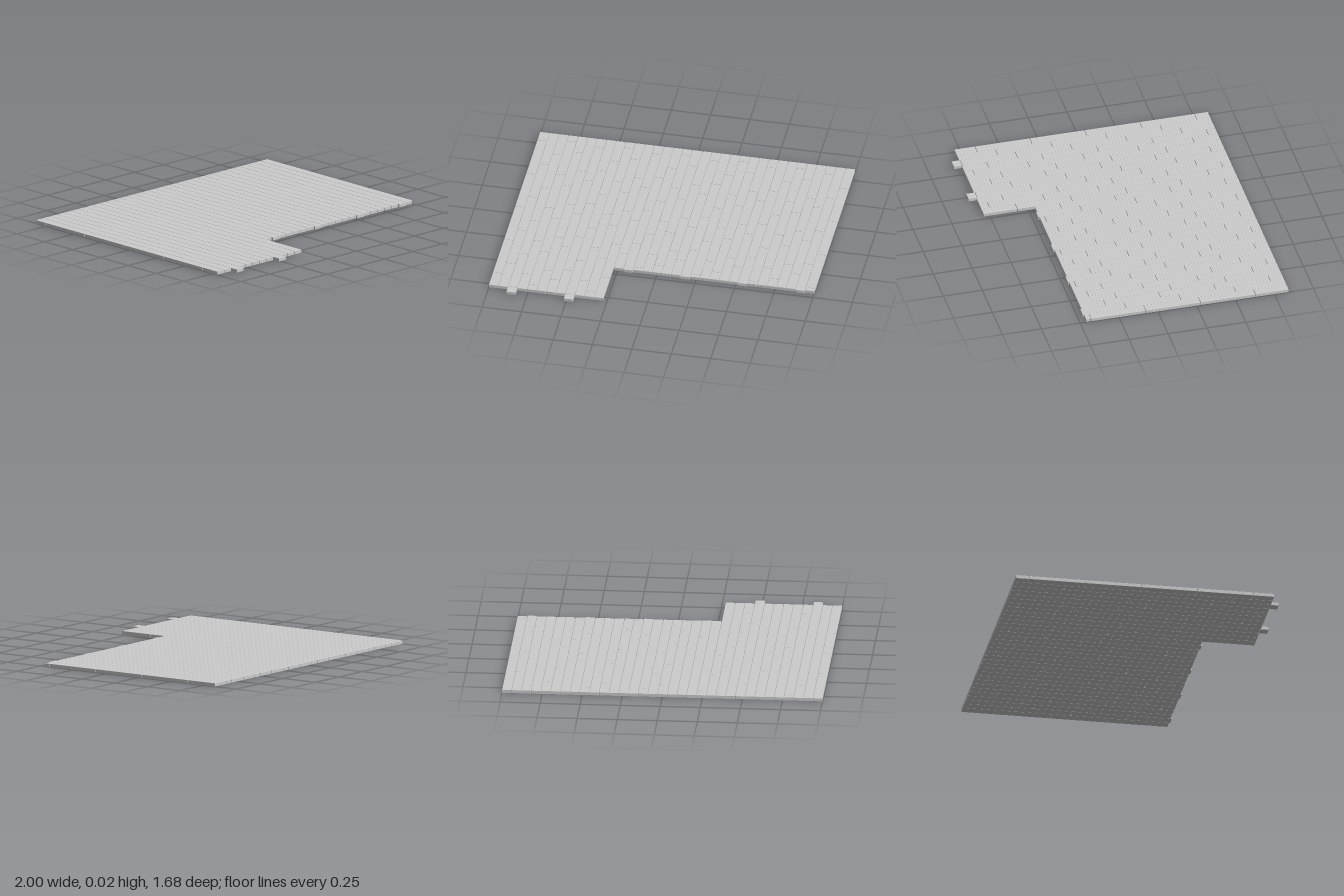
import * as THREE from 'three';
import { RoundedBoxGeometry } from 'three/addons/geometries/RoundedBoxGeometry.js';

const COLUMNS = 33;
const GAP = 0.002;
const PITCH = (2 + GAP) / COLUMNS;
const HEIGHT = 0.022;
const LENGTH = 0.353; // distance between joints in a row
const BACK = -0.84;
// z of the first joint in each row; the stagger repeats every six rows
const FIRST_JOINT = [-0.753, -0.515, -0.627, -0.78, -0.675, -0.485];

// Front end of a row: the left-out corner shortens rows 12 and up
function rowEnd(i) {
  if (i < 12) return i % 6 === 2 ? 0.84 : 0.79; // two rows overshoot
  return i % 6 === 1 ? 0.47 : 0.462;
}

export function createModel() {
  const floor = new THREE.Group();
  floor.name = 'plankFloor';
  const material = new THREE.MeshStandardMaterial({ color: 0xcccccc });

  for (let i = 0; i < COLUMNS; i++) {
    const row = new THREE.Group();
    row.name = `plankRow${i + 1}`;
    row.position.x = -1 + (PITCH - GAP) / 2 + i * PITCH;

    // Planks laid end to end, the first and last cut to fit
    const end = rowEnd(i);
    let start = BACK;
    let joint = FIRST_JOINT[i % 6];
    while (start < end - 0.01) {
      const stop = Math.min(joint, end);
      const length = stop - start - (stop < end ? GAP : 0);
      const plank = new THREE.Mesh(
        new RoundedBoxGeometry(PITCH - GAP, HEIGHT, length, 1, 0.002), material);
      plank.name = 'plank';
      plank.position.set(0, HEIGHT / 2, start + length / 2);
      row.add(plank);
      start = stop;
      joint += LENGTH;
    }
    floor.add(row);
  }
  return floor;
}
